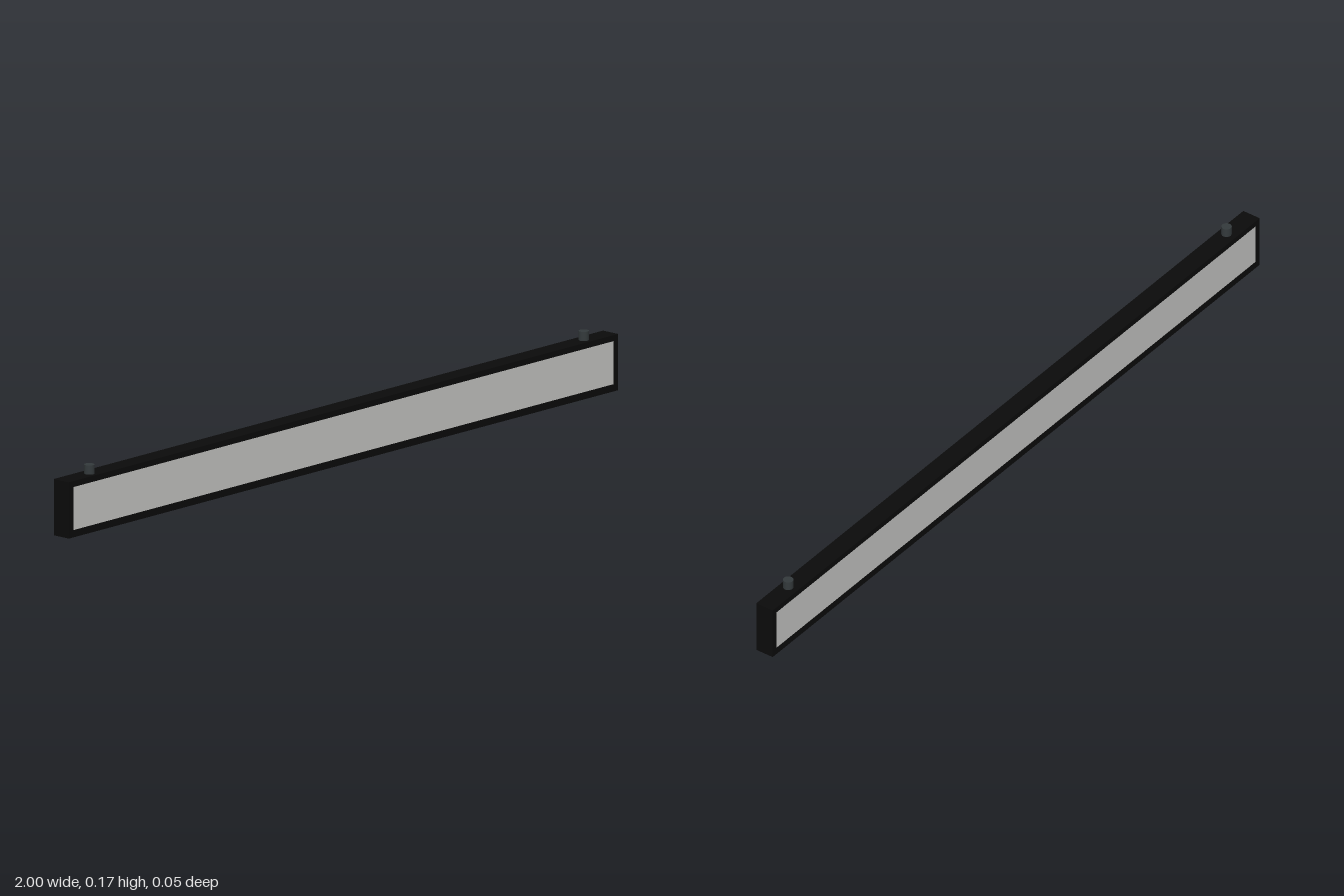
import * as THREE from 'three';

const WIDTH = 2, HEIGHT = 0.142, DEPTH = 0.05;

function material(name, color) {
  const m = new THREE.MeshStandardMaterial({ color });
  m.name = name;
  return m;
}

function rectangle(path, x0, y0, x1, y1) {
  path.moveTo(x0, y0);
  path.lineTo(x1, y0);
  path.lineTo(x1, y1);
  path.lineTo(x0, y1);
  path.closePath();
  return path;
}

export function createModel() {
  const black = material('black casing', 0x0b0b0b);
  const grey = material('pale grey panel', 0xc8c8c6);
  const steel = material('dark steel', 0x343a3c);
  const model = new THREE.Group();
  model.name = 'hangingLightBar';

  const add = (name, geometry, mat, x, y, z) => {
    const mesh = new THREE.Mesh(geometry, mat);
    mesh.name = name;
    mesh.position.set(x, y, z);
    model.add(mesh);
  };

  // Casing: a long frame, open at the front and back
  const x1 = 0.984, y0 = 0.018, y1 = 0.127;
  const outline = rectangle(new THREE.Shape(), -WIDTH / 2, 0, WIDTH / 2, HEIGHT);
  outline.holes.push(rectangle(new THREE.Path(), -x1, y0, x1, y1));
  add('casing', new THREE.ExtrudeGeometry(outline, { depth: DEPTH, bevelEnabled: false }),
    black, 0, 0, -DEPTH / 2);

  // Panels set just inside both faces of the casing
  const plate = new THREE.BoxGeometry(2 * x1, y1 - y0, 0.008);
  for (const [name, side] of [['frontPanel', 1], ['backPanel', -1]]) {
    add(name, plate, grey, 0, (y0 + y1) / 2, side * (DEPTH / 2 - 0.005));
  }

  // Round hanging studs on top
  const stud = new THREE.CylinderGeometry(0.013, 0.013, 0.024, 20);
  for (const [name, side] of [['leftStud', 1], ['rightStud', -1]]) {
    add(name, stud, steel, side * 0.9, HEIGHT + 0.011, 0.002);
  }

  return model;
}
